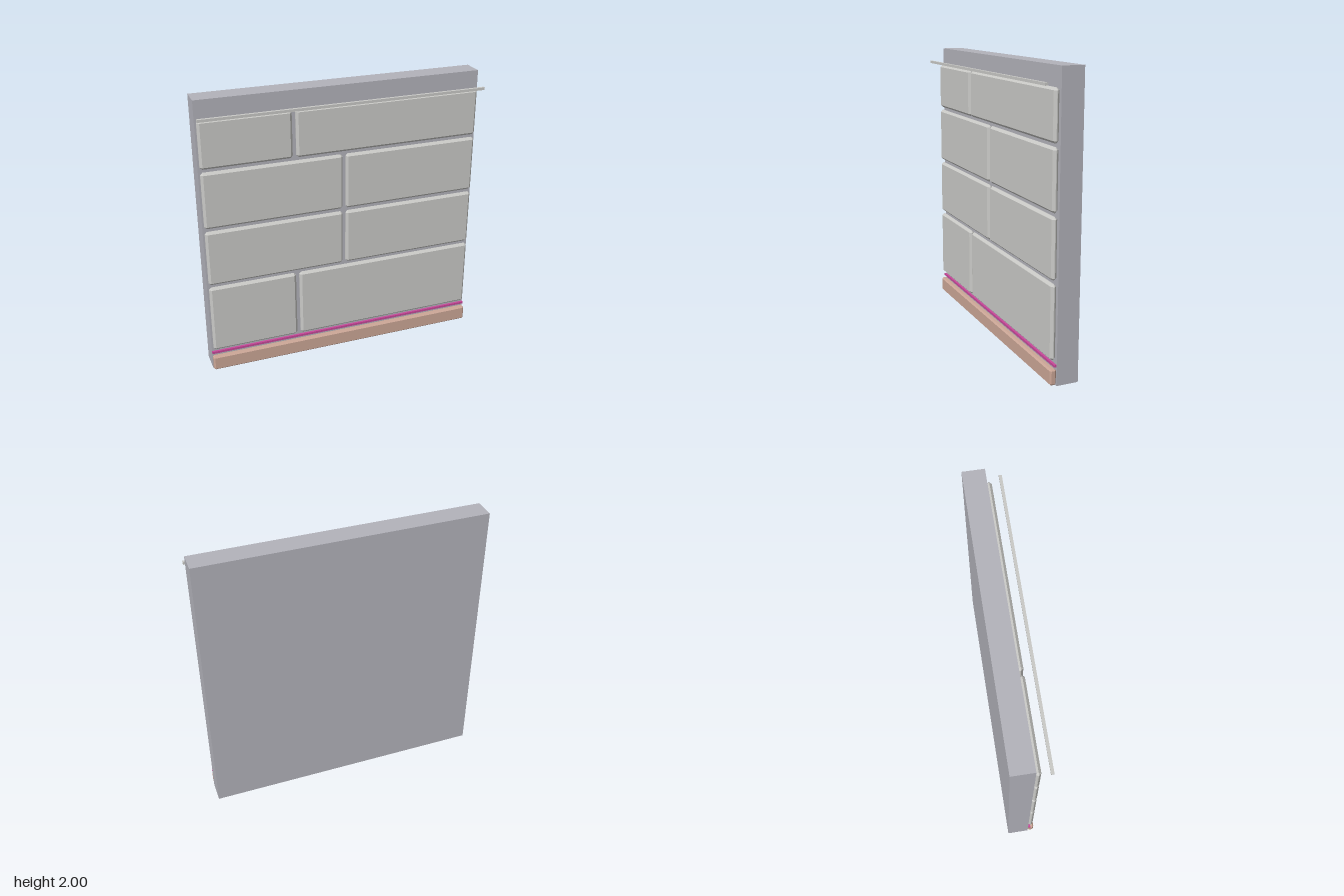
import * as THREE from 'three';
import { ConvexGeometry } from 'three/addons/geometries/ConvexGeometry.js';

const material = (name, color) => {
  const m = new THREE.MeshStandardMaterial({ color });
  m.name = name;
  return m;
};

// Box between two corners
function block(name, mat, [x0, y0, z0], [x1, y1, z1]) {
  const mesh = new THREE.Mesh(new THREE.BoxGeometry(x1 - x0, y1 - y0, z1 - z0), mat);
  mesh.position.set((x0 + x1) / 2, (y0 + y1) / 2, (z0 + z1) / 2);
  mesh.name = name;
  return mesh;
}

// Box between two corners with every edge chamfered by c
function chamferedBlock(name, mat, [x0, y0, z0], [x1, y1, z1], c) {
  const half = [(x1 - x0) / 2, (y1 - y0) / 2, (z1 - z0) / 2];
  const points = [];
  for (const sx of [-1, 1]) for (const sy of [-1, 1]) for (const sz of [-1, 1])
    for (let full = 0; full < 3; full++) {
      const [x, y, z] = half.map((h, i) => (i === full ? h : h - c));
      points.push(new THREE.Vector3(sx * x, sy * y, sz * z));
    }
  const mesh = new THREE.Mesh(new ConvexGeometry(points), mat);
  mesh.position.set((x0 + x1) / 2, (y0 + y1) / 2, (z0 + z1) / 2);
  mesh.name = name;
  return mesh;
}

export function createModel() {
  const group = new THREE.Group();
  group.name = 'wallPanel';
  const plaster = material('plaster', 0xb2b2ba);
  const stone = material('stone', 0xc9c9c6);
  const wood = material('wood', 0xcba696);
  const pink = material('pink', 0xc8489a);
  const front = 0.022;

  // Wall slab
  group.add(block('wall', plaster, [-1, 0, -0.13], [1, 2, front]));

  // Courses of stone: bottom, top, and the two sides of the joint
  const courses = [
    [0.168, 0.67, -0.365, -0.34],
    [0.692, 1.095, -0.012, 0.01],
    [1.118, 1.52, -0.012, 0.01],
    [1.542, 1.873, -0.365, -0.34],
  ];
  const stones = new THREE.Group();
  stones.name = 'stones';
  for (const [y0, y1, jointLeft, jointRight] of courses)
    for (const [x0, x1] of [[-0.99, jointLeft], [jointRight, 0.988]])
      stones.add(chamferedBlock('stoneBlock', stone, [x0, y0, front], [x1, y1, 0.06], 0.016));
  group.add(stones);

  // Skirting board and the thin strip above it
  group.add(chamferedBlock('skirtingBoard', wood, [-0.998, 0.005, front], [0.998, 0.113, 0.066], 0.01));
  group.add(block('accentStrip', pink, [-1, 0.128, 0.024], [1, 0.144, 0.04]));

  // Picture rail standing off the wall
  group.add(block('pictureRail', stone, [-1, 1.888, 0.11], [1, 1.906, 0.13]));
  return group;
}
